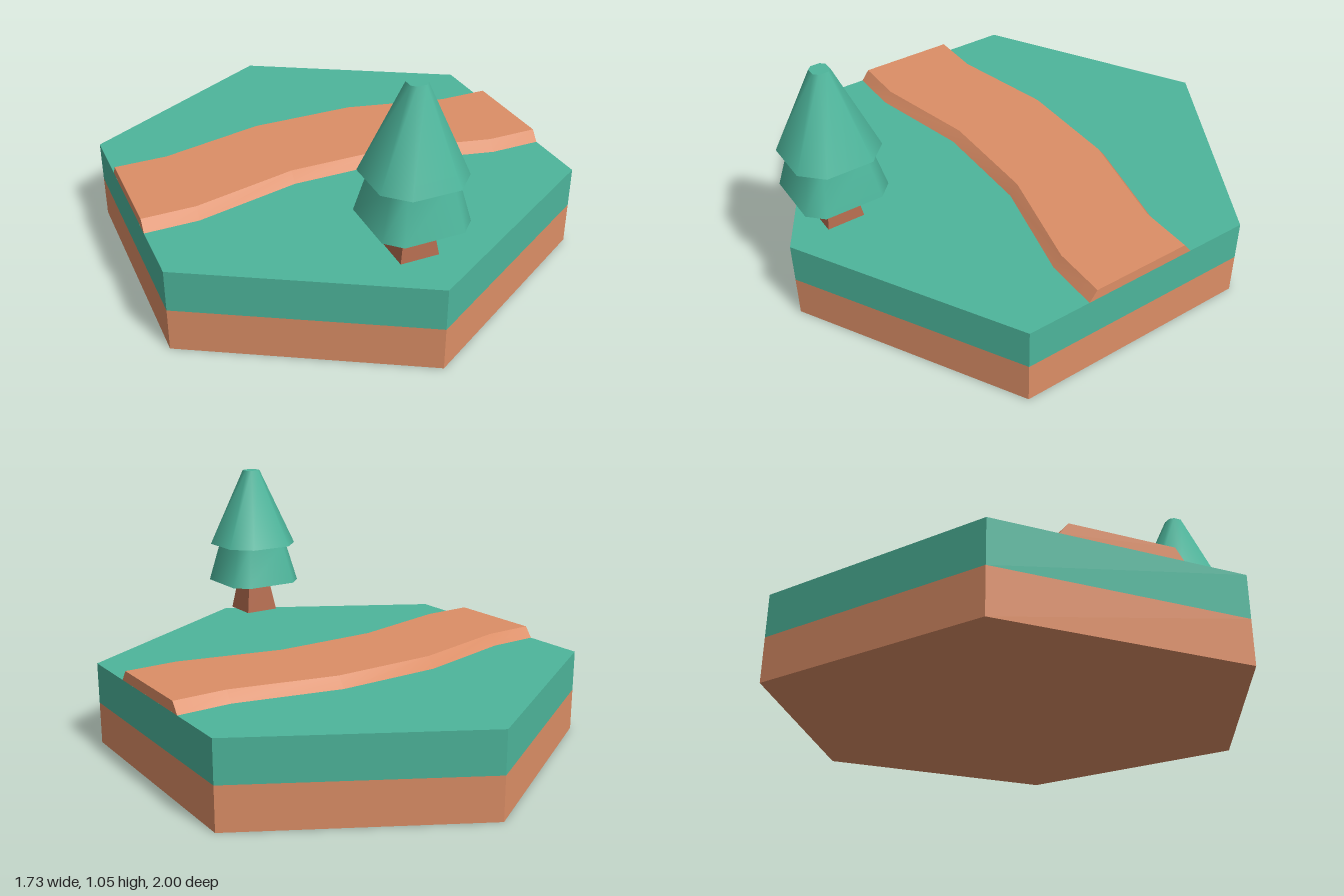
import * as THREE from 'three';
import { toCreasedNormals } from 'three/addons/utils/BufferGeometryUtils.js';

// Solid between two outlines of [x, z] points, ordered from +z towards +x.
function loft(lower, y0, upper, y1) {
  const n = lower.length;
  const positions = [];
  for (const [x, z] of lower) positions.push(x, y0, z);
  for (const [x, z] of upper) positions.push(x, y1, z);
  const index = [];
  for (let i = 0; i < n; i++) {
    const j = (i + 1) % n;
    index.push(i, j, n + j, i, n + j, n + i);
  }
  const contour = lower.map(([x, z]) => new THREE.Vector2(x, -z));
  for (const [a, b, c] of THREE.ShapeUtils.triangulateShape(contour, [])) {
    index.push(n + a, n + b, n + c, a, c, b);
  }
  const geometry = new THREE.BufferGeometry();
  geometry.setAttribute('position', new THREE.Float32BufferAttribute(positions, 3));
  geometry.setIndex(index);
  return toCreasedNormals(geometry, THREE.MathUtils.degToRad(50));
}

// Square outline with cut corners.
function cutSquare(half, cut) {
  const s = half - cut;
  return [[-s, half], [s, half], [half, s], [half, -s], [s, -half], [-s, -half], [-half, -s], [-half, s]];
}

function square(h) {
  return [[-h, h], [h, h], [h, -h], [-h, -h]];
}

// Winding path outline with a given half width.
function pathOutline(halfWidth) {
  const line = [[-0.866, 0], [-0.65, 0], [-0.22, -0.1], [0.22, -0.1], [0.65, 0], [0.866, 0]];
  const front = line.map(([x, z]) => [x, z + halfWidth]);
  const back = line.map(([x, z]) => [x, z - halfWidth]).reverse();
  return [...front, ...back];
}

export function createModel() {
  const model = new THREE.Group();
  model.name = 'hexTile';

  const material = (name, color) => {
    const m = new THREE.MeshStandardMaterial({ color });
    m.name = name;
    return m;
  };
  const dirt = material('dirt', 0xdc8e66);
  const green = material('green', 0x4db59b);
  const bark = material('bark', 0xb06a4d);

  const add = (parent, name, geometry, mat) => {
    const mesh = new THREE.Mesh(geometry, mat);
    mesh.name = name;
    parent.add(mesh);
    return mesh;
  };

  // Hexagonal ground in two layers
  const hexagon = Array.from({ length: 6 }, (_, i) => {
    const a = (i * Math.PI) / 3;
    return [Math.sin(a), Math.cos(a)];
  });
  add(model, 'dirtLayer', loft(hexagon, 0, hexagon, 0.175), dirt);
  add(model, 'grassLayer', loft(hexagon, 0.175, hexagon, 0.345), green);

  // Raised path with bevelled edges
  add(model, 'path', loft(pathOutline(0.24), 0.345, pathOutline(0.207), 0.39), dirt);

  // Tree
  const tree = new THREE.Group();
  tree.name = 'tree';
  tree.position.set(-0.036, 0, 0.778);
  model.add(tree);
  add(tree, 'trunk', loft(square(0.076), 0.39, square(0.053), 0.53), bark);
  add(tree, 'lowerFoliage', loft(cutSquare(0.172, 0.057), 0.53, cutSquare(0.128, 0.042), 0.705), green);
  add(tree, 'upperFoliage', loft(cutSquare(0.172, 0.08), 0.705, cutSquare(0.034, 0.016), 1.047), green);

  return model;
}
